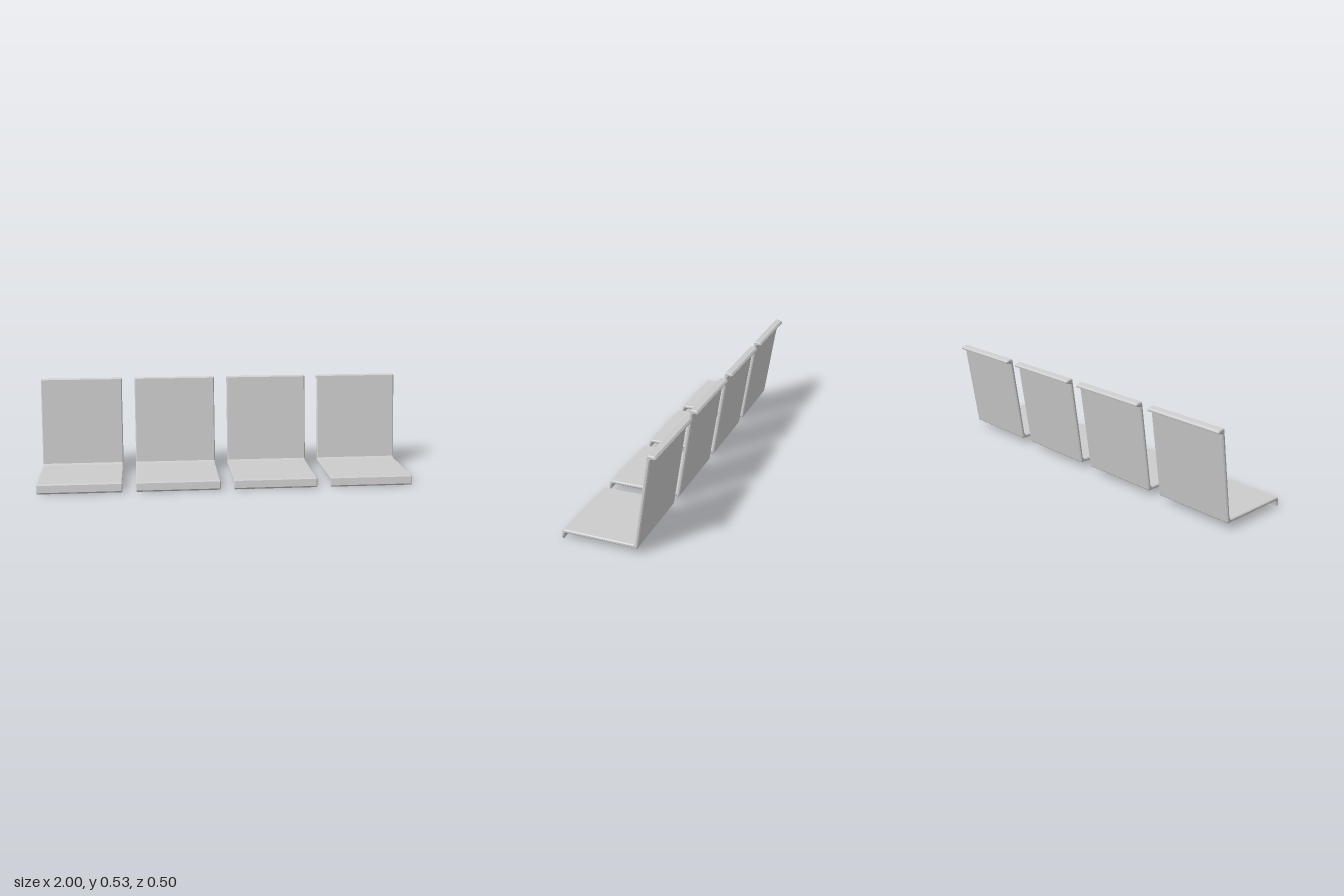
import * as THREE from 'three';

export function createModel() {
  const group = new THREE.Group();
  group.name = 'seatRow';
  const material = new THREE.MeshStandardMaterial({ color: 0xcccccc, flatShading: true });

  // Side profile of one bent shell as [z, y]: front lip, seat, backrest, rear-turned top lip
  const profile = [
    [0.242, 0], [0.249, 0.009], [0.242, 0.046], [0.235, 0.052],
    [-0.126, 0.052], [-0.135, 0.061],
    [-0.204, 0.523], [-0.212, 0.529], [-0.240, 0.525], [-0.248, 0.516],
    [-0.246, 0.508], [-0.238, 0.505], [-0.226, 0.507], [-0.219, 0.500],
    [-0.149, 0.039], [-0.142, 0.033],
    [0.224, 0.034], [0.231, 0.027], [0.236, 0.004],
  ].map(([z, y]) => new THREE.Vector2(z, y));

  // Extrude across the width, with chamfered side edges
  const width = 0.447, bevel = 0.005;
  const geometry = new THREE.ExtrudeGeometry(new THREE.Shape(profile), {
    depth: width - 2 * bevel,
    bevelEnabled: true,
    bevelThickness: bevel,
    bevelSize: bevel,
    bevelOffset: -bevel,
    bevelSegments: 1,
  });
  geometry.translate(0, 0, -(width - 2 * bevel) / 2);
  geometry.rotateY(-Math.PI / 2);

  // Four identical seats side by side
  const count = 4, step = (2 - width) / (count - 1);
  for (let i = 0; i < count; i++) {
    const seat = new THREE.Mesh(geometry, material);
    seat.name = `seatShell${i + 1}`;
    seat.position.x = (i - (count - 1) / 2) * step;
    group.add(seat);
  }
  return group;
}
